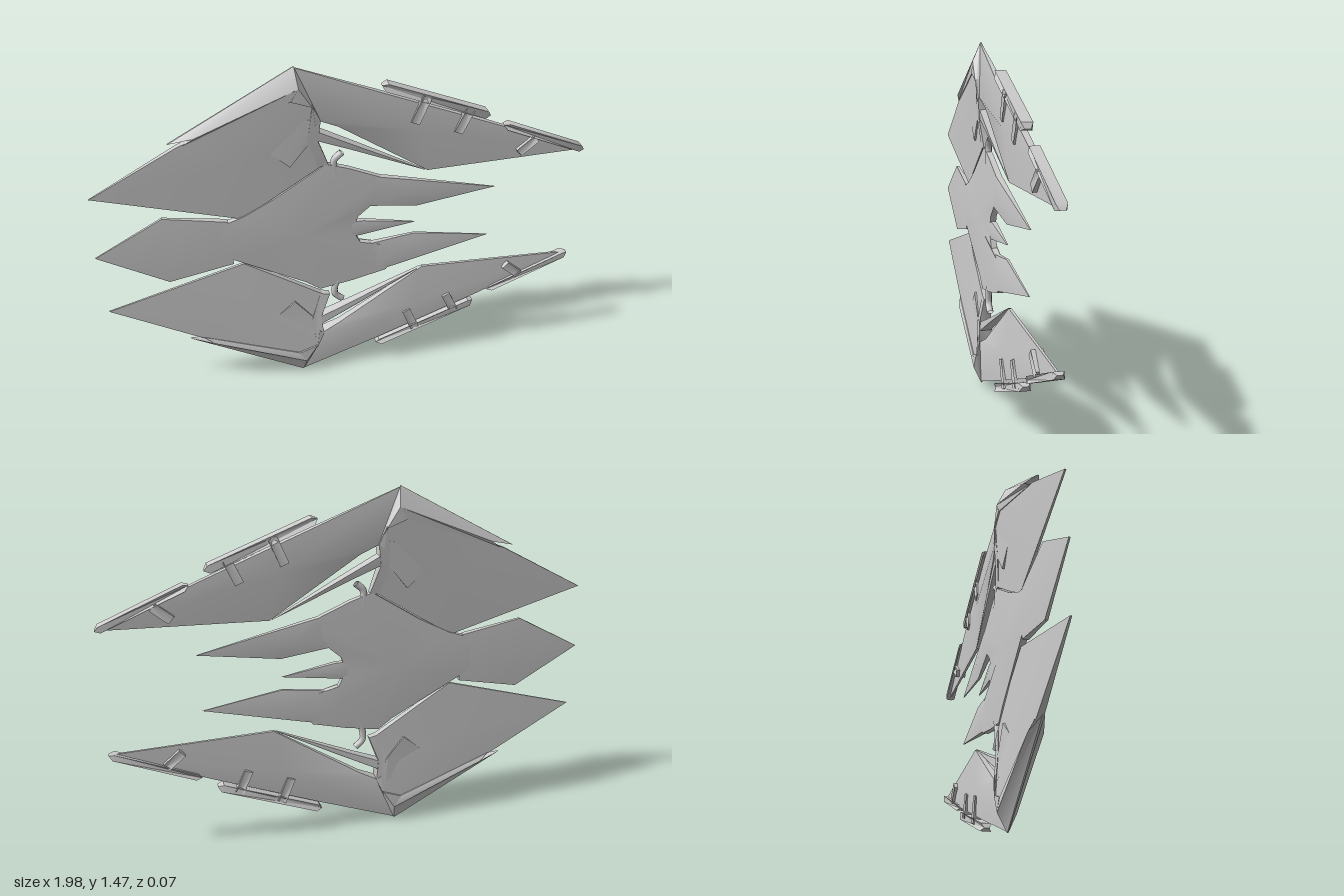
import * as THREE from 'three';
import { toCreasedNormals } from 'three/addons/utils/BufferGeometryUtils.js';

const MID = 0.74; // height of the mirror line
const mat = new THREE.MeshStandardMaterial({ color: 0xcccccc, side: THREE.DoubleSide });

function add(group, geo, name) {
  const mesh = new THREE.Mesh(geo, mat);
  mesh.name = name;
  group.add(mesh);
  return mesh;
}

// Flat plate: corners are [x, y, half thickness]; an optional centre gives a fanned, domed face
function plate(corners, centre) {
  let pts = corners.map(([x, y, h]) => new THREE.Vector3(x, y, h));
  if (THREE.ShapeUtils.isClockWise(pts)) pts = pts.reverse();
  const n = pts.length;
  let faces;
  if (centre) {
    faces = pts.map((_, i) => [i, (i + 1) % n, n]);
    pts.push(new THREE.Vector3(...centre));
  } else {
    faces = THREE.ShapeUtils.triangulateShape(pts.map(p => new THREE.Vector2(p.x, p.y)), []);
  }
  const m = pts.length;
  const pos = [], index = [];
  for (const side of [1, -1]) for (const p of pts) pos.push(p.x, p.y, side * p.z);
  for (const [a, b, c] of faces) index.push(a, b, c, m + a, m + c, m + b);
  for (let i = 0; i < n; i++) {
    const j = (i + 1) % n;
    index.push(m + i, m + j, j, m + i, j, i);
  }
  const geo = new THREE.BufferGeometry();
  geo.setAttribute('position', new THREE.Float32BufferAttribute(pos, 3));
  geo.setIndex(index);
  return toCreasedNormals(geo, 0.6);
}

// Bar between two points with pointed ends
function bar(a, b, width, h, point = 0) {
  const A = new THREE.Vector2(...a), B = new THREE.Vector2(...b);
  const d = B.clone().sub(A).normalize();
  const s = new THREE.Vector2(-d.y, d.x).multiplyScalar(width / 2);
  const at = (p, along, side, t) =>
    [p.x + d.x * along + s.x * side, p.y + d.y * along + s.y * side, t];
  return plate([
    at(A, 0, 0, h * 0.5), at(A, point, -1, h), at(B, -point, -1, h),
    at(B, 0, 0, h * 0.5), at(B, -point, 1, h), at(A, point, 1, h),
  ]);
}

// Everything that appears above and below the middle
function buildSide(name, flip) {
  const g = new THREE.Group();
  g.name = name;
  const f = list => list.map(([x, y, ...h]) => [x, flip ? 2 * MID - y : y, ...h]);
  const panel = (list, label, centre) =>
    add(g, plate(f(list), centre && f([centre])[0]), label);
  const rod = (a, b, w, h, p, label) => add(g, bar(...f([a, b]), w, h, p), label);

  // Swept rear wing and its raised inner panel
  panel([[-0.985, 1.01, 0.003], [-0.64, 1.2, 0.012], [-0.23, 1.365, 0.03], [-0.15, 1.34, 0.03],
    [-0.12, 1.28, 0.028], [-0.15, 1.18, 0.022], [-0.1, 1.06, 0.014], [-0.3, 0.93, 0.012],
    [-0.43, 0.85, 0.006]], 'rearWing', [-0.42, 1.1, 0.018]);
  panel([[-0.4, 1.22, 0.014], [-0.14, 1.27, 0.029], [-0.15, 1.17, 0.025], [-0.23, 1.07, 0.024]],
    'wingPanel');

  // Thick outer shell: sharp outer edge, broad inner edge
  panel([[-0.675, 1.21, 0.004], [-0.2, 1.475, 0.002], [-0.19, 1.4, 0.037], [-0.58, 1.235, 0.028]],
    'outerShell');
  panel([[-0.58, 1.235, 0.028], [-0.19, 1.4, 0.037], [-0.22, 1.35, 0.034], [-0.62, 1.205, 0.015]],
    'shellLip');
  panel([[-0.2, 1.475, 0.002], [-0.11, 1.26, 0.03], [-0.13, 1.24, 0.032], [-0.14, 1.32, 0.036],
    [-0.22, 1.35, 0.036], [-0.19, 1.4, 0.037]], 'shellCorner');

  // Hinge strip down to the body
  panel([[-0.14, 1.33, 0.035], [-0.11, 1.26, 0.03], [-0.12, 1.17, 0.025], [-0.08, 1.06, 0.014],
    [-0.12, 1.05, 0.014], [-0.16, 1.18, 0.026]], 'hingeStrip');

  // Long front blade with a narrow strut behind it
  panel([[-0.2, 1.47, 0.003], [0.13, 1.34, 0.012], [0.57, 1.165, 0.012], [0.97, 1.0, 0.004],
    [0.32, 0.98, 0.006], [-0.04, 1.22, 0.016], [-0.12, 1.26, 0.026]], 'frontBlade',
  [0.28, 1.17, 0.019]);
  panel([[-0.12, 1.21, 0.024], [0.05, 1.12, 0.02], [0.31, 0.982, 0.006], [0.0, 1.12, 0.018],
    [-0.12, 1.17, 0.022]], 'bladeStrut');

  // Rails along the outer edge and the clips that hold them
  rod([0.125, 1.37], [0.56, 1.2], 0.032, 0.022, 0.02, 'longRail');
  rod([0.62, 1.15], [0.975, 1.0], 0.026, 0.02, 0.02, 'shortRail');
  for (const [a, b] of [
    [[0.3, 1.31], [0.255, 1.2]],
    [[0.475, 1.24], [0.43, 1.14]],
    [[0.76, 1.08], [0.69, 1.02]],
  ]) rod(a, b, 0.036, 0.023, 0.003, 'railClip');

  // Small curved hook beside the body
  const path = new THREE.CatmullRomCurve3(
    f([[-0.025, 1.1, 0], [-0.055, 1.07, 0], [-0.055, 1.03, 0], [-0.042, 0.99, 0]])
      .map(p => new THREE.Vector3(...p)));
  add(g, new THREE.TubeGeometry(path, 12, 0.014, 8, false), 'hook');
  return g;
}

export function createModel() {
  const model = new THREE.Group();
  model.name = 'ship';
  model.add(buildSide('upperSide', false), buildSide('lowerSide', true));

  // Central body
  const e = 0.012;
  add(model, plate([
    [-0.54, 0.82, e], [-0.42, 0.86, e], [-0.29, 0.93, e], [-0.09, 1.06, e], [0.0, 1.03, e],
    [0.15, 0.965, e], [0.175, 0.915, e], [0.09, 0.845, e], [0.04, 0.8, e], [0.015, 0.74, e],
    [0.05, 0.67, e], [0.13, 0.65, e], [0.195, 0.58, e], [0.16, 0.515, e], [0.02, 0.48, e],
    [-0.12, 0.455, e], [-0.18, 0.5, e], [-0.47, 0.66, e], [-0.55, 0.69, e],
  ], [-0.2, 0.74, 0.021]), 'body');

  // Pointed tail
  add(model, plate([[-1, 0.74, 0.003], [-0.73, 0.89, 0.006], [-0.48, 0.845, 0.012],
    [-0.47, 0.64, 0.012], [-0.73, 0.585, 0.006]], [-0.62, 0.74, 0.015]), 'tail');

  // Front spikes
  add(model, plate([[0.1, 0.98, 0.012], [0.17, 0.965, 0.012], [0.61, 0.863, 0.002],
    [0.28, 0.815, 0.005], [0.05, 0.85, 0.012]], [0.22, 0.89, 0.016]), 'upperSpike');
  add(model, plate([[0.0, 0.775, 0.012], [0.06, 0.775, 0.01], [0.28, 0.735, 0.002],
    [0.04, 0.705, 0.01], [0.0, 0.71, 0.012]], [0.07, 0.74, 0.014]), 'middleSpike');
  add(model, plate([[0.04, 0.65, 0.012], [0.28, 0.68, 0.005], [0.6, 0.625, 0.002],
    [0.17, 0.525, 0.012], [0.08, 0.52, 0.012]], [0.22, 0.605, 0.016]), 'lowerSpike');

  return model;
}
